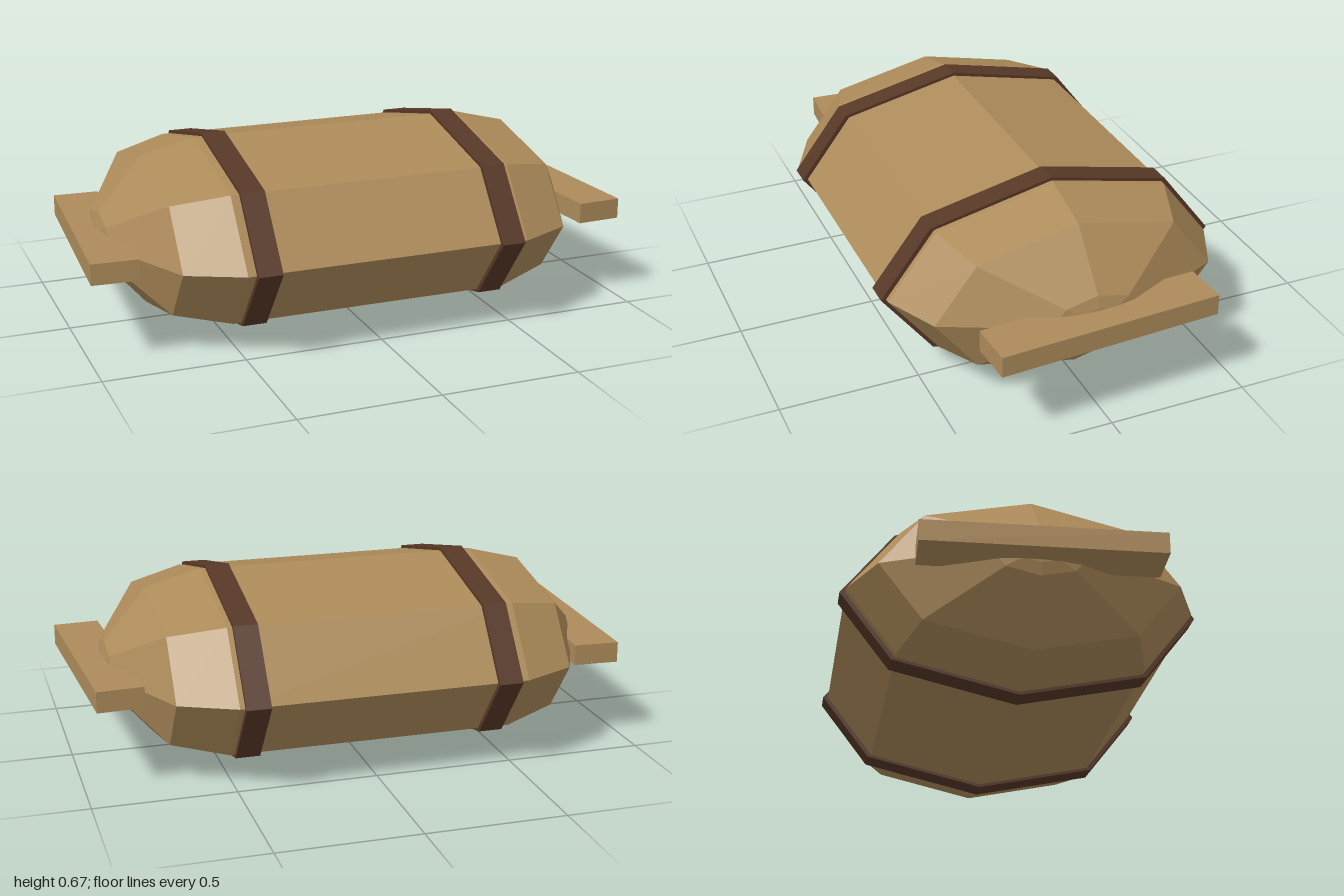
import * as THREE from 'three';

const canvas = new THREE.MeshStandardMaterial({ color: 0xad8b5a });
canvas.name = 'tan canvas';
const leather = new THREE.MeshStandardMaterial({ color: 0x573826 });
leather.name = 'dark leather';

const CENTRE_Y = 0.34;

// Eight-sided solid turned around the x axis, flattened to an oval; profile is [x, radius fraction]
function ovalTurn(profile, halfHeight, halfDepth) {
  const points = profile.map(([x, r]) => new THREE.Vector2(r, x));
  const turned = new THREE.LatheGeometry(points, 8);
  turned.rotateZ(-Math.PI / 2);
  turned.scale(1, halfHeight, halfDepth);
  const flat = turned.toNonIndexed();
  flat.computeVertexNormals();
  return flat;
}

function addPart(group, name, geometry, material, x, y) {
  const mesh = new THREE.Mesh(geometry, material);
  mesh.name = name;
  mesh.position.set(x, y, 0);
  group.add(mesh);
  return mesh;
}

export function createModel() {
  const group = new THREE.Group();
  group.name = 'strappedBundle';

  // Body: straight middle with bevelled, gently domed ends
  const end = [[0.515, 1], [0.71, 0.847], [0.872, 0.27], [0.886, 0.14], [0.89, 0]];
  const profile = [...end.map(([x, r]) => [-x, r]).reverse(), ...end];
  addPart(group, 'body', ovalTurn(profile, 0.325, 0.603), canvas, -0.006, CENTRE_Y);

  // Strap: thin band around the body
  const w = 0.043;
  const strap = ovalTurn([[-w, 0.94], [-w, 1], [w, 1], [w, 0.94]], 0.3365, 0.622);

  for (const side of [1, -1]) {
    const label = side > 0 ? 'left' : 'right';
    addPart(group, label + 'Strap', strap, leather, side * 0.448, CENTRE_Y);

    // End handle, splayed slightly outward toward the front
    const handle = addPart(group, label + 'Handle',
      new THREE.BoxGeometry(0.165, 0.075, 0.805), canvas, side * 0.894, 0.341);
    handle.rotation.y = side * 0.056;
  }
  return group;
}
